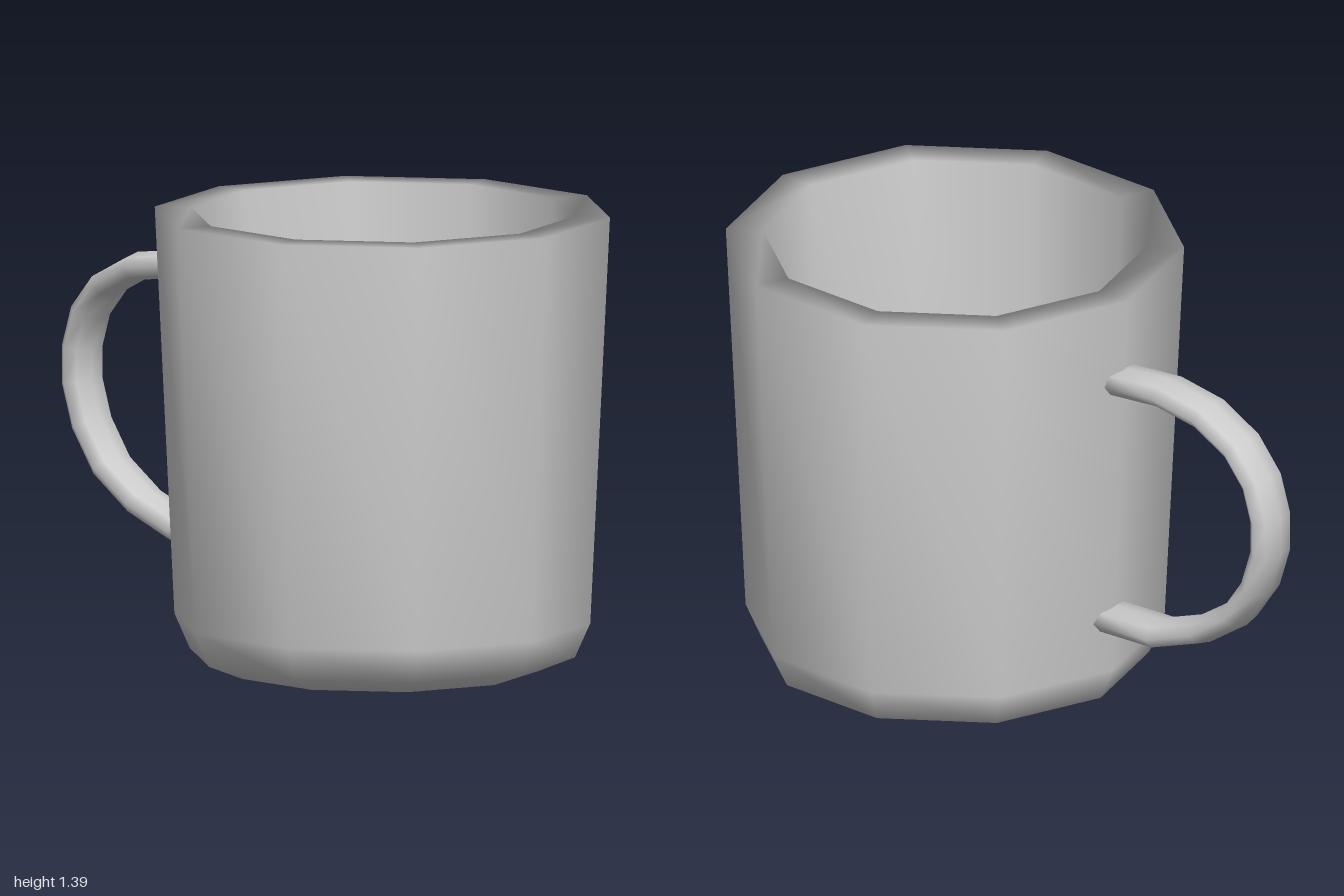
import * as THREE from 'three';
import { mergeVertices } from 'three/addons/utils/BufferGeometryUtils.js';

const material = new THREE.MeshStandardMaterial({ color: 0xcccccc });

// Weld a geometry so that shading runs smoothly over all its edges
function smooth(geometry) {
  geometry.deleteAttribute('uv');
  geometry.deleteAttribute('normal');
  const welded = mergeVertices(geometry, 1e-4);
  welded.computeVertexNormals();
  return welded;
}

// Flat elliptical band swept along a path of [z, y] points
function sweepBand(path, halfWidth, halfThickness, sides) {
  const positions = [];
  const index = [];
  const last = path.length - 1;
  path.forEach(([z, y], i) => {
    const [z0, y0] = path[Math.max(i - 1, 0)];
    const [z1, y1] = path[Math.min(i + 1, last)];
    const length = Math.hypot(z1 - z0, y1 - y0);
    const ny = -(z1 - z0) / length;
    const nz = (y1 - y0) / length;
    for (let j = 0; j < sides; j++) {
      const angle = (j / sides) * Math.PI * 2;
      const out = halfThickness * Math.sin(angle);
      positions.push(halfWidth * Math.cos(angle), y + ny * out, z + nz * out);
    }
  });
  for (let j = 0; j < sides; j++) {
    const k = (j + 1) % sides;
    for (let i = 0; i < last; i++) {
      const a = i * sides + j, b = i * sides + k;
      index.push(a, a + sides, b, b, a + sides, b + sides);
    }
    // End caps
    const start = path.length * sides;
    index.push(start, j, k, start + 1, last * sides + k, last * sides + j);
  }
  for (const [z, y] of [path[0], path[last]]) positions.push(0, y, z);
  const geometry = new THREE.BufferGeometry();
  geometry.setAttribute('position', new THREE.Float32BufferAttribute(positions, 3));
  geometry.setIndex(index);
  return geometry;
}

export function createModel() {
  const mug = new THREE.Group();
  mug.name = 'mug';

  // Ten-sided cup: underside, outer wall, rim, inner wall, inner floor
  const profile = [
    [0, 0], [0.475, 0], [0.587, 0.045], [0.634, 0.15], [0.694, 1.39],
    [0.582, 1.39], [0.535, 0.2], [0.5, 0.13], [0.42, 0.1], [0, 0.1],
  ].map(([r, y]) => new THREE.Vector2(r, y));
  const cup = new THREE.Mesh(smooth(new THREE.LatheGeometry(profile, 10)), material);
  cup.name = 'cup';
  cup.position.z = 0.305;
  mug.add(cup);

  // Curved handle at the back
  const handlePath = [
    [-0.36, 1.118], [-0.548, 1.136], [-0.711, 1.112], [-0.842, 1.045],
    [-0.922, 0.952], [-0.957, 0.842], [-0.957, 0.733], [-0.917, 0.61],
    [-0.832, 0.489], [-0.695, 0.396], [-0.524, 0.332], [-0.315, 0.322],
  ];
  const handle = new THREE.Mesh(smooth(sweepBand(handlePath, 0.08, 0.043, 8)), material);
  handle.name = 'handle';
  handle.position.x = -0.01;
  mug.add(handle);

  return mug;
}
